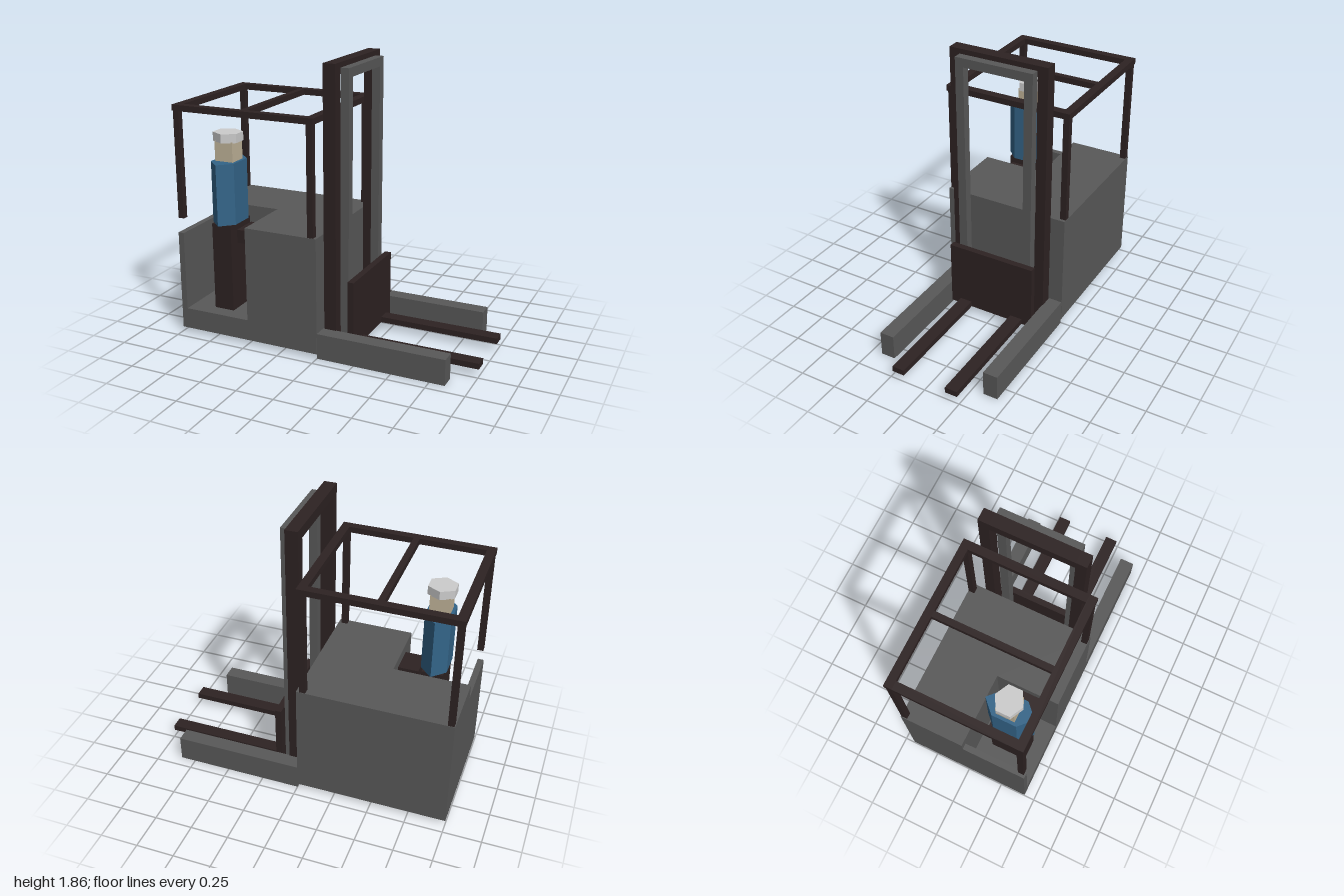
import * as THREE from 'three';

export function createModel() {
  const model = new THREE.Group();
  model.name = 'reachTruck';

  const material = (name, color) => {
    const m = new THREE.MeshStandardMaterial({ color });
    m.name = name;
    return m;
  };
  const grey = material('bodyGrey', 0x585858);
  const dark = material('darkSteel', 0x2d2222);
  const blue = material('jacketBlue', 0x336488);
  const tan = material('skinTan', 0xbfb297);
  const white = material('helmetWhite', 0xcccccc);

  const group = (name) => {
    const g = new THREE.Group();
    g.name = name;
    model.add(g);
    return g;
  };
  // Box given by its extents along each axis
  const box = (parent, name, mat, [x0, x1], [y0, y1], [z0, z1]) => {
    const mesh = new THREE.Mesh(new THREE.BoxGeometry(x1 - x0, y1 - y0, z1 - z0), mat);
    mesh.position.set((x0 + x1) / 2, (y0 + y1) / 2, (z0 + z1) / 2);
    mesh.name = name;
    parent.add(mesh);
  };
  // Mirrored z extents for one side
  const side = (s, a, b) => (s > 0 ? [a, b] : [-b, -a]);

  // Body: base slab, L-shaped housing around the operator bay, rear panel
  const body = group('body');
  box(body, 'baseSlab', grey, [-1, 0], [0.03, 0.17], [-0.43, 0.43]);
  const plan = new THREE.Shape([[-1, 0], [-0.5, 0], [-0.5, -0.43], [0, -0.43], [0, 0.43], [-1, 0.43]]
    .map(([x, y]) => new THREE.Vector2(x, y)));
  const housing = new THREE.Mesh(new THREE.ExtrudeGeometry(plan, { depth: 0.63, bevelEnabled: false }), grey);
  housing.rotation.x = -Math.PI / 2;
  housing.position.y = 0.17;
  housing.name = 'housing';
  body.add(housing);
  box(body, 'rearPanel', grey, [-1, -0.96], [0.17, 0.7], [0, 0.43]);
  box(body, 'controlConsole', dark, [-0.635, -0.5], [0.64, 0.73], [0.12, 0.3]);

  // Overhead guard
  const guard = group('overheadGuard');
  const roofY = [1.508, 1.547];
  for (const s of [1, -1]) {
    box(guard, 'roofSideRail', dark, [-1, -0.01], roofY, side(s, 0.38, 0.433));
    for (const x of [-0.975, -0.04]) {
      box(guard, 'guardPost', dark, [x - 0.02, x + 0.02], [0.8, 1.508], side(s, 0.387, 0.427));
    }
  }
  for (const [x0, x1] of [[-1, -0.945], [-0.525, -0.485], [-0.065, -0.01]]) {
    box(guard, 'roofCrossRail', dark, [x0, x1], roofY, [-0.38, 0.38]);
  }

  // Mast frames: two uprights joined by cross bars
  const frame = (name, mat, x, y, outer, inner, bar) => {
    const g = group(name);
    for (const s of [1, -1]) box(g, 'mastUpright', mat, x, y, side(s, inner, outer));
    box(g, 'mastTopBar', mat, x, [y[1] - bar, y[1]], [-inner, inner]);
    box(g, 'mastBottomBar', mat, x, [y[0], y[0] + bar], [-inner, inner]);
  };
  frame('outerMast', dark, [0.008, 0.09], [0.02, 1.86], 0.335, 0.267, 0.07);
  frame('innerMast', grey, [0.09, 0.145], [0.05, 1.828], 0.264, 0.207, 0.058);

  // Carriage, forks and outrigger legs
  const lift = group('liftCarriage');
  box(lift, 'carriagePlate', dark, [0.155, 0.197], [0.05, 0.5], [-0.305, 0.305]);
  for (const s of [1, -1]) {
    box(lift, 'fork', dark, [0.197, 1], [0.05, 0.088], side(s, 0.15, 0.235));
    box(model, 'outrigger', grey, [0, 0.85], [0, 0.17], side(s, 0.33, 0.428));
  }

  // Operator
  const operator = group('operator');
  const hexPrism = (name, mat, halfX, halfZ, y0, y1) => {
    const geo = new THREE.CylinderGeometry(1, 1, y1 - y0, 6).toNonIndexed();
    geo.scale(halfX / Math.cos(Math.PI / 6), 1, halfZ);
    geo.computeVertexNormals();
    const mesh = new THREE.Mesh(geo, mat);
    mesh.position.set(-0.731, (y0 + y1) / 2, 0.212);
    mesh.name = name;
    operator.add(mesh);
  };
  box(operator, 'legs', dark, [-0.801, -0.661], [0.17, 0.76], [0.09, 0.334]);
  hexPrism('torso', blue, 0.085, 0.163, 0.76, 1.168);
  box(operator, 'head', tan, [-0.796, -0.666], [1.168, 1.3], [0.15, 0.274]);
  hexPrism('helmet', white, 0.086, 0.091, 1.295, 1.354);

  return model;
}
